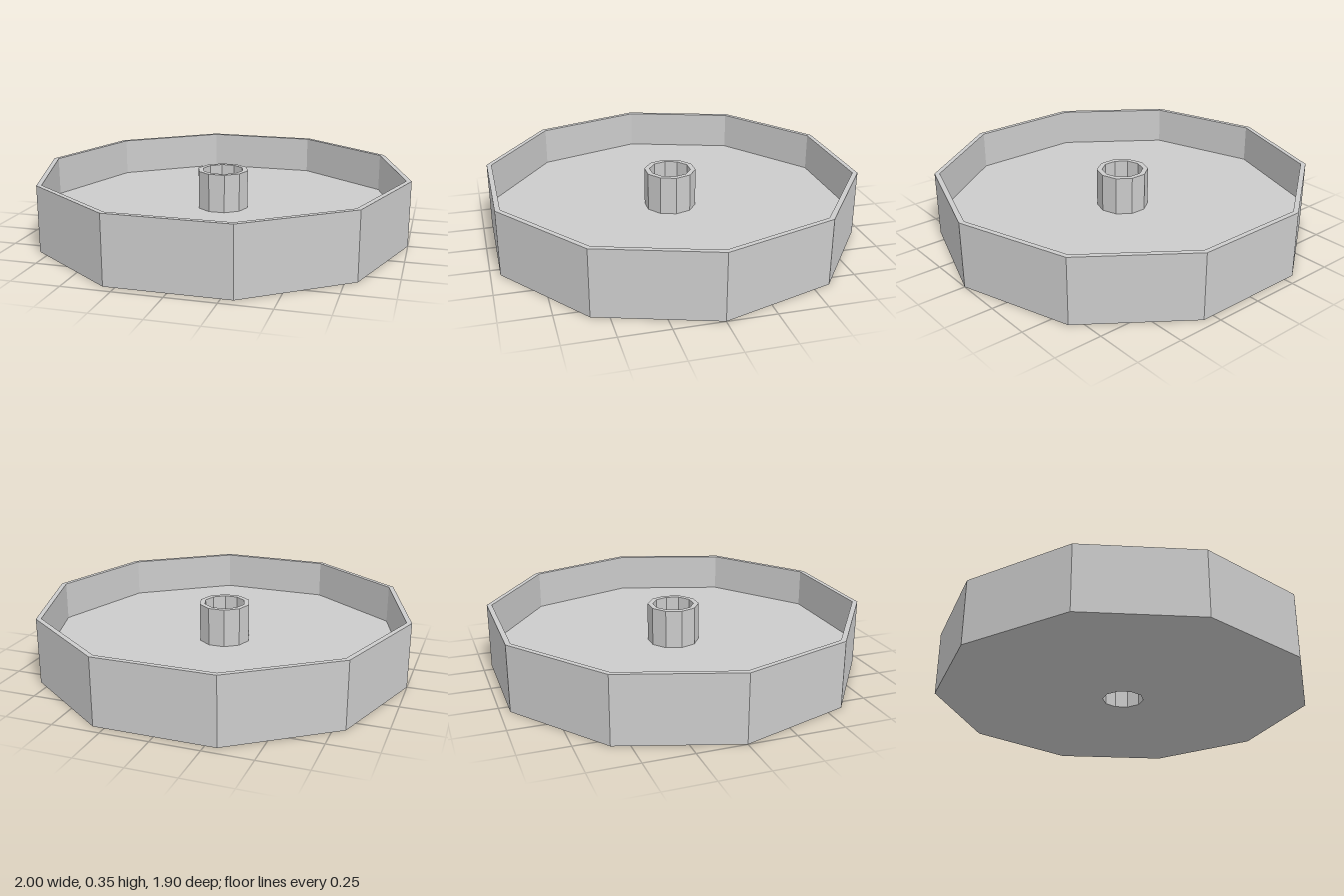
import * as THREE from 'three';

const SIDES = 10;
const HEIGHT = 0.35, FLOOR = 0.145;
const RIM_OUTER = 1, RIM_INNER = 0.973;
const HUB_OUTER = 0.138, HUB_INNER = 0.11;

const material = new THREE.MeshStandardMaterial({ color: 0xcccccc, flatShading: true });

// Ten-sided turned part, with one corner on the x axis
function turned(name, profile) {
  const points = profile.map(([r, y]) => new THREE.Vector2(r, y));
  const geometry = new THREE.LatheGeometry(points, SIDES, Math.PI / 2).toNonIndexed();
  geometry.computeVertexNormals();
  const mesh = new THREE.Mesh(geometry, material);
  mesh.name = name;
  return mesh;
}

export function createModel() {
  const group = new THREE.Group();
  group.name = 'hubbedTray';

  // Tray: underside, outer wall, rim, inner wall and floor
  group.add(turned('tray', [
    [HUB_INNER, 0], [RIM_OUTER, 0], [RIM_OUTER, HEIGHT],
    [RIM_INNER, HEIGHT], [RIM_INNER, FLOOR], [HUB_OUTER, FLOOR],
  ]));

  // Hub: collar standing on the floor, with a bore right through the tray
  group.add(turned('hub', [
    [HUB_OUTER, FLOOR], [HUB_OUTER, HEIGHT], [HUB_INNER, HEIGHT], [HUB_INNER, 0],
  ]));

  return group;
}
